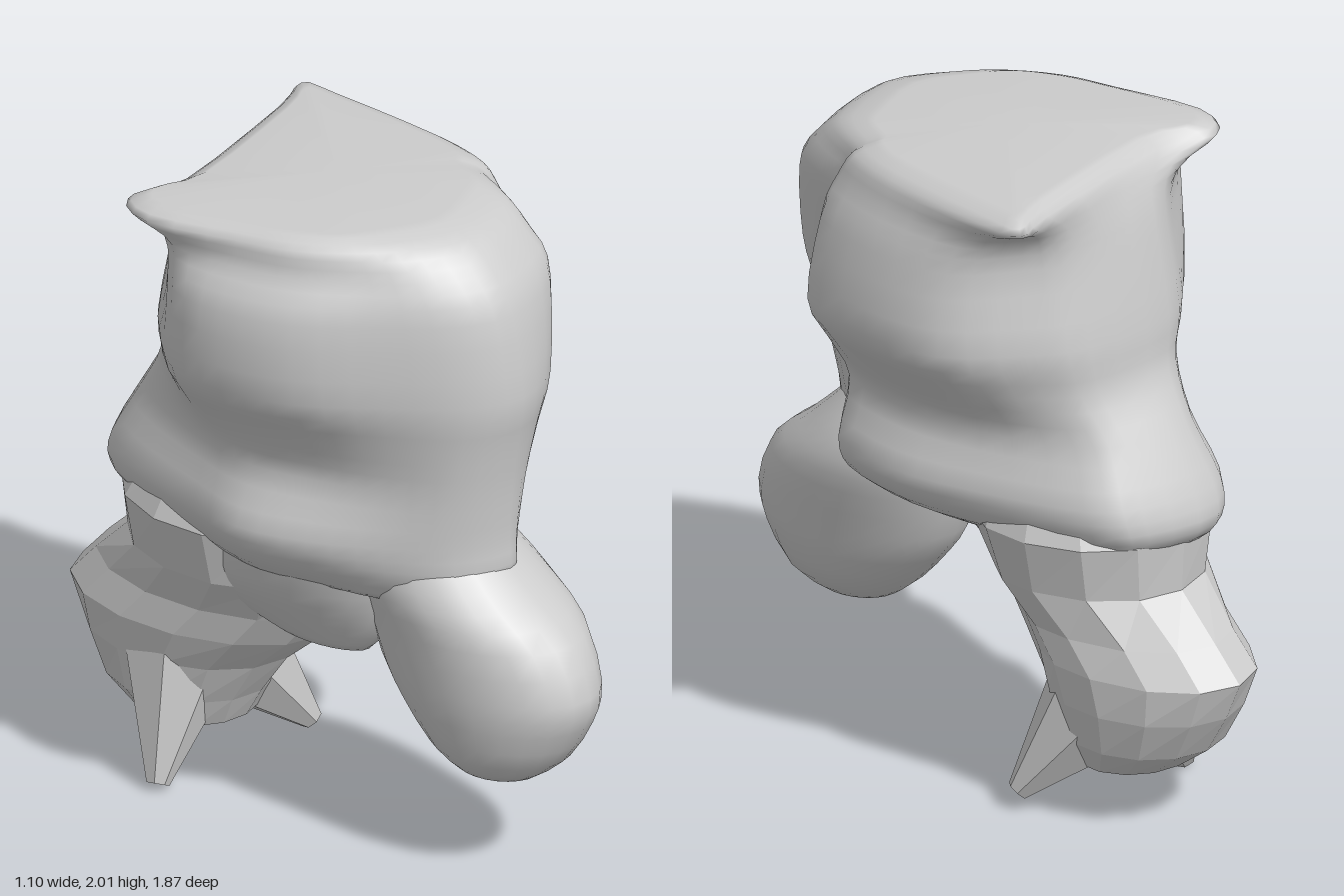
import * as THREE from 'three';

const material = new THREE.MeshStandardMaterial({ color: 0xcccccc });
const facetMaterial = new THREE.MeshStandardMaterial({ color: 0xcccccc, flatShading: true });
const V = (x, y, z) => new THREE.Vector3(x, y, z);

// Smoothly resample rows of section parameters (Catmull-Rom between rows)
function refine(rows, steps) {
  const out = [];
  const at = (i) => rows[Math.max(0, Math.min(rows.length - 1, i))];
  for (let i = 0; i < rows.length - 1; i++) {
    for (let s = 0; s < steps; s++) {
      const t = s / steps;
      out.push(rows[i].map((p1, k) => {
        const p0 = at(i - 1)[k], p2 = at(i + 1)[k], p3 = at(i + 2)[k];
        return 0.5 * (2 * p1 + (p2 - p0) * t + (2 * p0 - 5 * p1 + 4 * p2 - p3) * t * t
          + (3 * p1 - p0 - 3 * p2 + p3) * t * t * t);
      }));
    }
  }
  out.push(rows[rows.length - 1]);
  return out;
}

// Skin horizontal rings, ordered top to bottom, and close both ends with a fan
function loft(rings, topY, bottomY) {
  const n = rings[0].length, pos = [], idx = [];
  rings.forEach((ring) => ring.forEach((p) => pos.push(p.x, p.y, p.z)));
  for (let i = 0; i < rings.length - 1; i++) {
    for (let j = 0; j < n; j++) {
      const a = i * n + j, b = i * n + (j + 1) % n;
      idx.push(a, a + n, b, b, a + n, b + n);
    }
  }
  [[0, topY, false], [rings.length - 1, bottomY, true]].forEach(([r, y, flip]) => {
    const c = V(0, 0, 0);
    rings[r].forEach((p) => c.addScaledVector(p, 1 / n));
    const ci = pos.length / 3;
    pos.push(c.x, y, c.z);
    for (let j = 0; j < n; j++) {
      const a = r * n + j, b = r * n + (j + 1) % n;
      if (flip) idx.push(ci, b, a);
      else idx.push(ci, a, b);
    }
  });
  const g = new THREE.BufferGeometry();
  g.setAttribute('position', new THREE.Float32BufferAttribute(pos, 3));
  g.setIndex(idx);
  g.computeVertexNormals();
  return g;
}

// Head section: front, back, left and right extents, cheek groove, rear corner flare
function headRing([y, zf, zb, xl, xr, groove, flare]) {
  const ridge = Math.min(0.2 + (y - 1.5) * 0.2, xl * 0.55);
  const neck = THREE.MathUtils.clamp((1.4 - y) / 0.3, 0, 1);
  const pts = [
    [-0.04, zf],
    [ridge - 0.05, zf - 0.05],
    [ridge + 0.03, zf * 0.76],
    [THREE.MathUtils.lerp(xl * 0.76, ridge + 0.08, groove), zf * 0.53],
    [xl * 0.88, zf * 0.45],
    [xl, 0.03],
    [xl * (0.93 - 0.05 * neck) + 0.07 * flare, -0.23 - 0.15 * flare],
    [xl * 0.6 + 0.21 * flare, zb * 0.79 - 0.22 * flare],
    [0.3 * xl + 0.18 * flare, zb * (0.97 - 0.03 * neck) - 0.1 * flare],
    [-0.28 * xr - 0.13 * flare, zb],
    [-xr * 0.6 - 0.18 * flare, zb * 0.79 - 0.15 * flare],
    [-xr * (0.94 - 0.06 * neck) - 0.1 * flare, -0.22 - 0.09 * flare],
    [-xr, -0.02],
    [-xr * 0.9, zf * 0.3],
    [-xr * 0.36 - 0.15, zf * 0.61],
    [-0.2, zf - 0.08],
  ].map(([x, z]) => V(x, y, z));
  const curve = new THREE.CatmullRomCurve3(pts, true, 'catmullrom', 0.5);
  return Array.from({ length: 48 }, (_, i) => curve.getPoint(i / 48));
}

// Oval section: front, back, left and right extents; skew cuts back the left front
function ovalRing([y, zf, zb, xl, xr, skew = 0], n) {
  return Array.from({ length: n }, (_, i) => {
    const a = (i / n) * Math.PI * 2, s = Math.sin(a), c = Math.cos(a);
    return V((xl - xr) / 2 + (xl + xr) / 2 * s, y,
      (zf + zb) / 2 + (zf - zb) / 2 * c - skew * Math.max(0, s) * Math.max(0, c));
  });
}

export function createModel() {
  const group = new THREE.Group();
  const add = (name, geometry, mat = material) => {
    const mesh = new THREE.Mesh(geometry, mat);
    mesh.name = name;
    group.add(mesh);
    return mesh;
  };

  // Flat-topped head with flared rear corners, left cheek groove and a narrow neck
  const head = refine([
    [1.985, 0.38, -0.32, 0.36, 0.40, 0, 0.8],
    [1.95, 0.50, -0.38, 0.43, 0.46, 0.2, 0.9],
    [1.87, 0.59, -0.43, 0.46, 0.47, 0.9, 0.3],
    [1.75, 0.66, -0.47, 0.51, 0.54, 1, 0],
    [1.5, 0.70, -0.52, 0.55, 0.54, 1, 0],
    [1.35, 0.68, -0.54, 0.46, 0.45, 1, 0],
    [1.2, 0.66, -0.63, 0.37, 0.39, 0.8, 0],
    [1.03, 0.65, -0.72, 0.43, 0.46, 0.5, 0],
    [0.92, 0.65, -0.74, 0.38, 0.42, 0.4, 0],
    [0.84, 0.58, -0.66, 0.26, 0.34, 0.2, 0],
  ], 3).map(headRing);
  add('head', loft(head, 2, 0.8));

  // Slanted underside, lower on the right, joining snout and rear block
  const underside = refine([
    [1.0, 0.42, -0.35, 0.3, 0.38],
    [0.8, 0.36, -0.42, 0.14, 0.34],
    [0.68, 0.3, -0.36, 0, 0.28],
    [0.59, 0.22, -0.12, -0.08, 0.22],
  ], 3).map((r) => ovalRing(r, 24));
  add('underside', loft(underside, 1.0, 0.57));

  // Rounded snout hanging forward
  const snout = refine([
    [1.08, 0.52, 0.16, 0.1, 0.2],
    [0.95, 0.64, 0.15, 0.19, 0.27],
    [0.85, 0.75, 0.15, 0.23, 0.29],
    [0.75, 0.87, 0.17, 0.23, 0.28],
    [0.6, 0.94, 0.22, 0.2, 0.27],
    [0.5, 0.92, 0.29, 0.18, 0.26],
    [0.38, 0.85, 0.4, 0.13, 0.23],
    [0.31, 0.76, 0.49, 0.05, 0.17],
  ], 2).map((r) => ovalRing(r, 24));
  add('snout', loft(snout, 1.08, 0.28));

  // Faceted lower block at the rear, joined to the underside of the head
  const rear = [
    [1.05, 0, -0.62, 0.28, 0.3, 0],
    [0.9, 0.08, -0.71, 0.34, 0.37, 0.1],
    [0.73, 0.08, -0.70, 0.30, 0.33, 0.25],
    [0.6, 0.03, -0.84, 0.26, 0.28, 0.3],
    [0.5, -0.05, -0.93, 0.26, 0.29, 0.25],
    [0.38, -0.19, -0.88, 0.25, 0.27, 0.1],
    [0.25, -0.28, -0.80, 0.22, 0.25, 0],
    [0.16, -0.33, -0.68, 0.17, 0.21, 0],
  ].map((r) => ovalRing(r, 14));
  add('rearBlock', loft(rear, 1.05, 0.14), facetMaterial);

  // Two short pointed feet growing out of the lower front corners of the block
  [
    ['leftPoint', V(0.08, 0.3, -0.44), V(0.25, 0.05, -0.3)],
    ['rightPoint', V(-0.13, 0.34, -0.49), V(-0.295, 0.01, -0.44)],
  ].forEach(([name, base, tip]) => {
    const dir = tip.clone().sub(base);
    const cone = add(name, new THREE.CylinderGeometry(0.035, 0.17, dir.length(), 7), facetMaterial);
    cone.position.copy(base).addScaledVector(dir, 0.5);
    cone.quaternion.setFromUnitVectors(V(0, 1, 0), dir.normalize());
  });

  return group;
}
